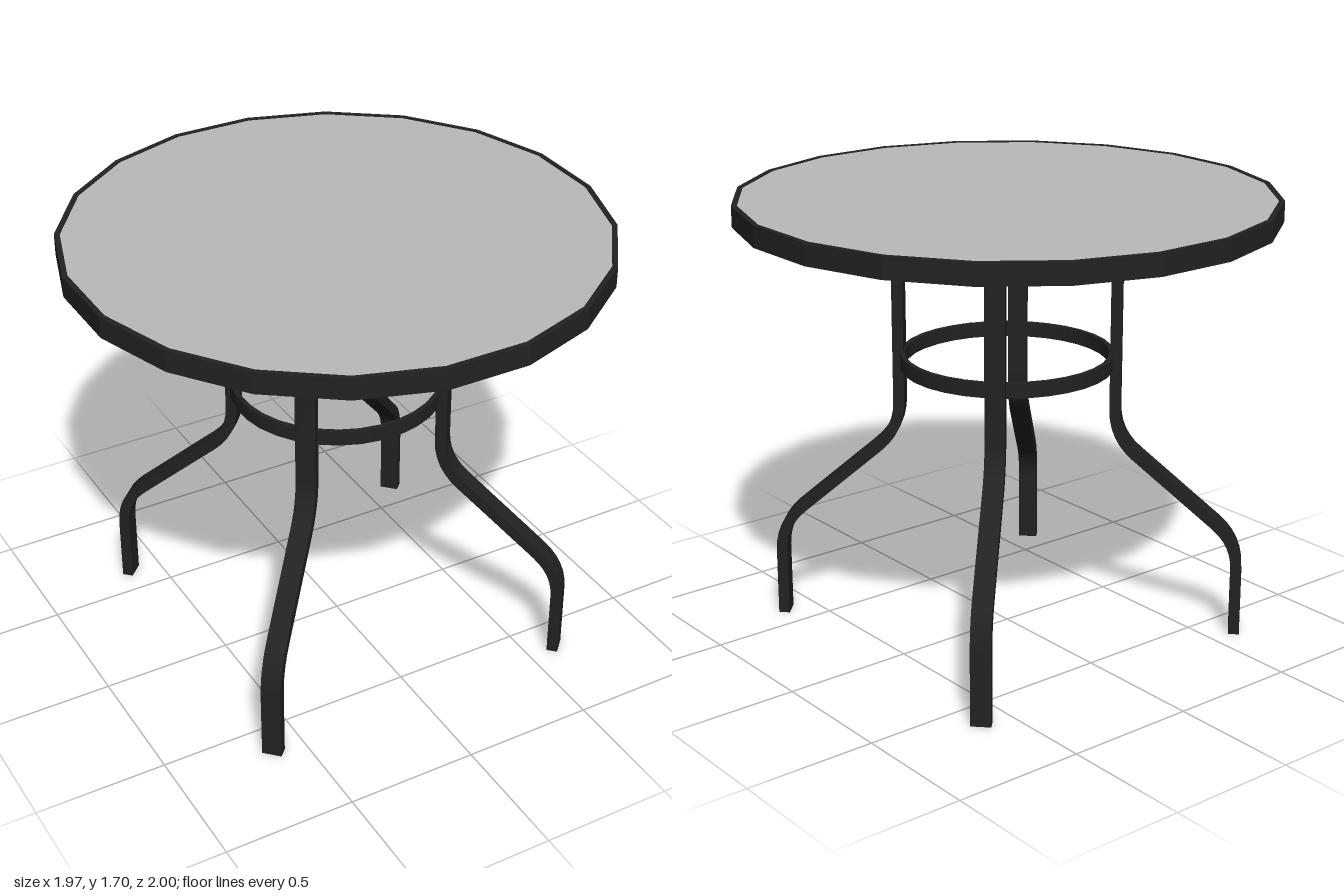
import * as THREE from 'three';
import { toCreasedNormals } from 'three/addons/utils/BufferGeometryUtils.js';

const frameMat = new THREE.MeshStandardMaterial({ color: 0x222222 });
frameMat.name = 'black metal';
const glassMat = new THREE.MeshStandardMaterial({ color: 0xbababa });
glassMat.name = 'grey glass';

function addMesh(parent, name, geometry, material) {
  const mesh = new THREE.Mesh(geometry, material);
  mesh.name = name;
  parent.add(mesh);
  return mesh;
}

// regular polygon with a flat side facing each axis
function polygon(radius, sides) {
  return Array.from({ length: sides }, (_, i) => {
    const a = ((i + 0.5) / sides) * Math.PI * 2;
    return new THREE.Vector2(Math.cos(a) * radius, Math.sin(a) * radius);
  });
}

// flat horizontal plate or ring, from y = bottom upwards
function slab(outer, inner, sides, bottom, height) {
  const shape = new THREE.Shape(polygon(outer, sides));
  if (inner) shape.holes.push(new THREE.Path(polygon(inner, sides)));
  const g = new THREE.ExtrudeGeometry(shape, { depth: height, bevelEnabled: false });
  return g.rotateX(-Math.PI / 2).translate(0, bottom, 0);
}

// bent flat bar: centre line with rounded corners, offset to both sides, extruded to its width
function bentBar(corners, bend, thickness, width) {
  const pts = corners.map(([x, y]) => new THREE.Vector2(x, y));
  const line = [pts[0]];
  for (let i = 1; i < pts.length - 1; i++) {
    const toward = (q) => q.clone().sub(pts[i]).setLength(bend).add(pts[i]);
    const curve = new THREE.QuadraticBezierCurve(toward(pts[i - 1]), pts[i], toward(pts[i + 1]));
    line.push(...curve.getPoints(6));
  }
  line.push(pts[pts.length - 1]);

  const sideA = [], sideB = [];
  line.forEach((p, i) => {
    const before = line[Math.max(i - 1, 0)], after = line[Math.min(i + 1, line.length - 1)];
    const t = after.clone().sub(before).normalize();
    const n = new THREE.Vector2(-t.y, t.x).multiplyScalar(thickness / 2);
    sideA.push(p.clone().add(n));
    sideB.unshift(p.clone().sub(n));
  });
  const shape = new THREE.Shape([...sideA, ...sideB]);
  const g = new THREE.ExtrudeGeometry(shape, { depth: width, bevelEnabled: false });
  return toCreasedNormals(g.translate(0, 0, -width / 2), 0.6);
}

export function createModel() {
  const table = new THREE.Group();
  table.name = 'patioTable';

  // table top: twenty-sided rim holding a glass plate
  const top = new THREE.Group();
  top.name = 'tableTop';
  top.scale.x = 0.987;
  addMesh(top, 'rim', slab(1.0125, 0.992, 20, 1.62, 0.08), frameMat);
  addMesh(top, 'glass', slab(0.993, 0, 20, 1.683, 0.014), glassMat);
  table.add(top);

  // four bent legs whose upper ends run out to the rim
  const legs = new THREE.Group();
  legs.name = 'legs';
  legs.scale.x = 0.987;
  const legGeometry = bentBar(
    [[0.888, 0], [0.888, 0.375], [0.412, 0.785], [0.412, 1.652], [0.99, 1.652]],
    0.11, 0.042, 0.075
  );
  for (let i = 0; i < 4; i++) {
    addMesh(legs, 'leg', legGeometry, frameMat).rotation.y = Math.PI / 4 + (i * Math.PI) / 2;
  }
  table.add(legs);

  // hoop bracing the legs
  addMesh(table, 'braceRing', toCreasedNormals(slab(0.401, 0.383, 32, 1.044, 0.057), 0.6), frameMat);

  return table;
}
